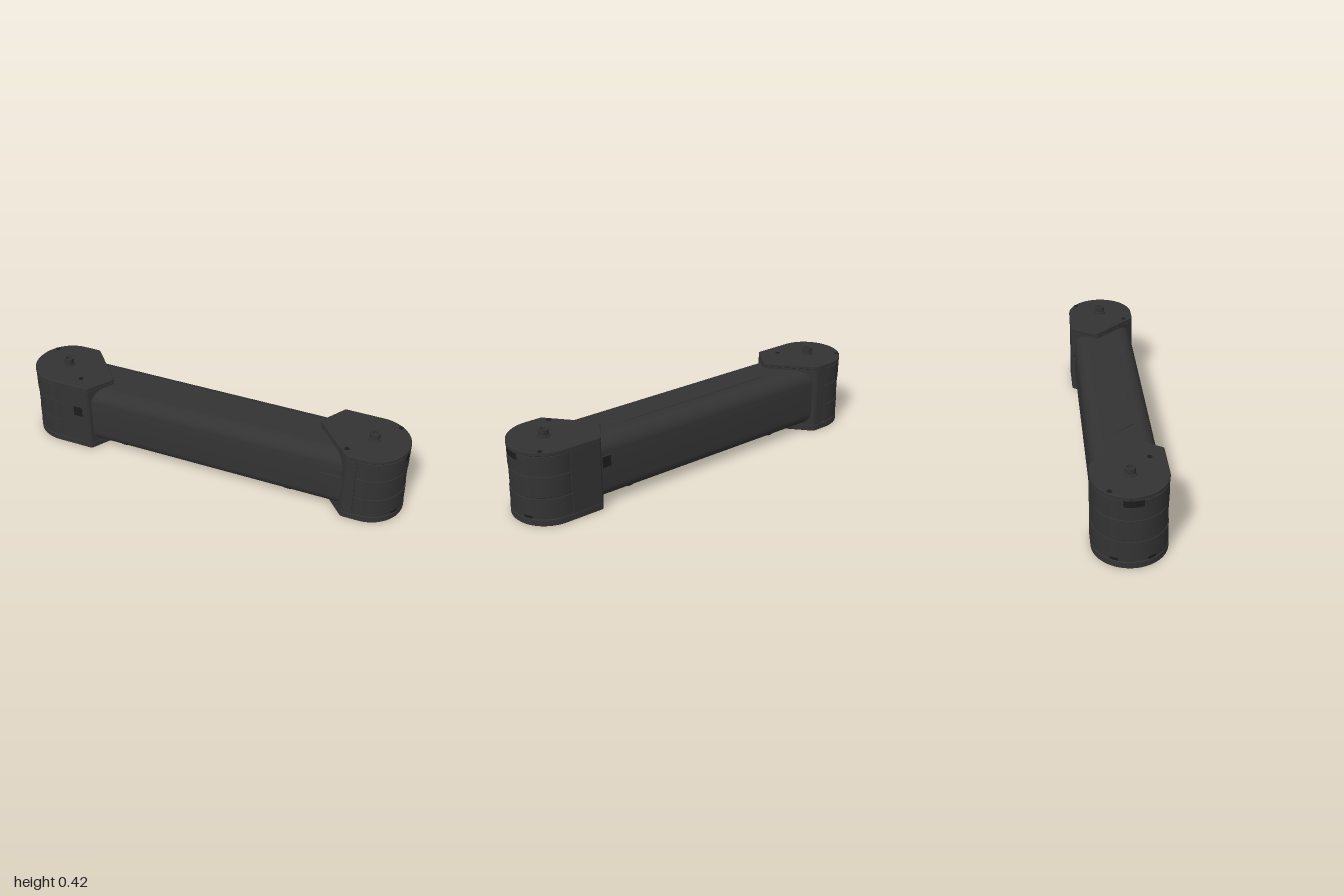
import * as THREE from 'three';
import { toCreasedNormals } from 'three/addons/utils/BufferGeometryUtils.js';

const shell = new THREE.MeshStandardMaterial({ color: 0x333333 });
const dark = new THREE.MeshStandardMaterial({ color: 0x1c1c1c, side: THREE.DoubleSide });

const R = 0.175;          // joint radius
const JOINT_X = 0.825;    // joint axis distance from the centre
const HEIGHT = 0.38;

function add(parent, name, geometry, material = shell, x = 0, y = 0, z = 0) {
  const mesh = new THREE.Mesh(geometry, material);
  mesh.name = name;
  mesh.position.set(x, y, z);
  parent.add(mesh);
  return mesh;
}

// Vertical extrusion of a plan outline (shape y becomes -z)
function slab(shape, y0, y1, bevel = 0.003) {
  const g = new THREE.ExtrudeGeometry(shape, {
    depth: y1 - y0 - 2 * bevel, curveSegments: 32, bevelEnabled: bevel > 0,
    bevelThickness: bevel, bevelSize: bevel, bevelOffset: -bevel, bevelSegments: 1,
  });
  g.translate(0, 0, bevel).rotateX(-Math.PI / 2).translate(0, y0, 0);
  return toCreasedNormals(g, 0.5);
}

function lathe(pairs, segments = 64) {
  const pts = pairs.map(([r, y]) => new THREE.Vector2(r, y));
  return toCreasedNormals(new THREE.LatheGeometry(pts, segments), 0.5);
}

// Skewed arrow-shaped end of the joint housing
function addNose(shape) {
  shape.lineTo(0.19, -R);
  shape.quadraticCurveTo(0.198, -R, 0.203, -0.165);
  shape.lineTo(0.273, -0.054);
  shape.quadraticCurveTo(0.283, -0.04, 0.272, -0.027);
  shape.lineTo(0.095, 0.167);
  shape.quadraticCurveTo(0.088, R, 0.078, R);
}

function plateOutline(holeRadius) {
  const s = new THREE.Shape();
  s.absarc(0, 0, R, Math.PI / 2, Math.PI * 1.5, false);
  addNose(s);
  s.closePath();
  if (holeRadius) s.holes.push(new THREE.Path().absarc(0, 0, holeRadius, 0, Math.PI * 2, true));
  return s;
}

function blockOutline() {
  const s = new THREE.Shape();
  s.moveTo(0.035, R);
  s.lineTo(0.035, -R);
  addNose(s);
  s.closePath();
  return s;
}

// Dark curved inset on the outer side of the barrel
function barrelSlot(parent, name, angle, width, y0, y1, r) {
  const g = new THREE.CylinderGeometry(r, r, y1 - y0, 12, 1, true,
    Math.PI * 1.5 + angle - width / 2, width);
  add(parent, name, g, dark, 0, (y0 + y1) / 2, 0);
}

function screw(parent, name, x, y, z, r = 0.012) {
  return add(parent, name, new THREE.CylinderGeometry(r, r, 0.003, 16), dark, x, y, z);
}

function makeJoint(screws) {
  const joint = new THREE.Group();
  add(joint, 'housingBlock', slab(blockOutline(), 0.035, 0.36, 0));
  add(joint, 'topPlate', slab(plateOutline(), 0.36, HEIGHT));
  add(joint, 'bottomPlate', slab(plateOutline(0.13), 0, 0.035));

  // Banded barrel with narrow seams
  add(joint, 'barrel', lathe([
    [0, 0.008], [0.165, 0.008], [0.165, 0.037], [0.1735, 0.037], [0.1735, 0.14],
    [0.169, 0.14], [0.169, 0.146], [0.171, 0.148], [0.171, 0.252], [0.168, 0.253],
    [0.168, 0.259], [0.1735, 0.26], [0.1735, 0.356], [0.168, 0.356], [0.168, 0.365], [0, 0.365],
  ]));
  barrelSlot(joint, 'cableSocket', 0, 0.52, 0.325, 0.358, 0.1742);
  barrelSlot(joint, 'cableSocketLip', 0, 0.5, 0.334, 0.337, 0.1747);
  for (const side of [-1, 1]) barrelSlot(joint, 'barrelSlot', side * 0.51, 0.24, 0.037, 0.052, 0.1742);

  // Connector pin on top
  add(joint, 'connectorPin', lathe([
    [0.031, 0.379], [0.031, 0.386], [0.025, 0.387], [0.025, 0.416],
    [0.015, 0.416], [0.015, 0.40], [0, 0.40],
  ], 32));
  for (const [x, z] of screws) screw(joint, 'topScrew', x, HEIGHT, z);

  // Underside flange: rings and bolt circles
  add(joint, 'flangeRing', lathe([[0.105, 0.009], [0.105, 0.003], [0.118, 0.003], [0.118, 0.009]].reverse(), 48), shell);
  add(joint, 'flangeHub', new THREE.CylinderGeometry(0.09, 0.09, 0.006, 40), shell, 0, 0.006, 0);
  screw(joint, 'hubHole', 0, 0.003, 0, 0.022);
  for (let i = 0; i < 8; i++) {
    const a = i * Math.PI / 4;
    screw(joint, 'hubBolt', 0.062 * Math.cos(a), 0.003, 0.062 * Math.sin(a), 0.011);
  }
  for (let i = 0; i < 6; i++) {
    const a = (i + 0.5) * Math.PI / 3;
    screw(joint, 'rimScrew', 0.153 * Math.cos(a), 0.0015, 0.153 * Math.sin(a), 0.01);
  }
  return joint;
}

// Square socket with a raised rim, facing +z
function makePort() {
  const port = new THREE.Group();
  const s = new THREE.Shape();
  const w = 0.028, h = 0.033, t = 0.004;
  s.moveTo(-w, -h).lineTo(w, -h).lineTo(w, h).lineTo(-w, h).closePath();
  s.holes.push(new THREE.Path().moveTo(t - w, t - h).lineTo(t - w, h - t).lineTo(w - t, h - t).lineTo(w - t, t - h).closePath());
  add(port, 'portRim', new THREE.ExtrudeGeometry(s, { depth: 0.003, bevelEnabled: false }));
  add(port, 'portOpening', new THREE.BoxGeometry(2 * (w - t), 2 * (h - t), 0.002), dark);
  return port;
}

export function createModel() {
  const model = new THREE.Group();
  model.name = 'robotArmLink';

  // Joints, the second turned half a revolution
  const right = makeJoint([[-0.125, -0.1], [0.125, 0.1]]);
  right.name = 'rightJoint';
  right.position.x = -JOINT_X;
  const left = makeJoint([[-0.095, 0.13], [0.1, -0.125]]);
  left.name = 'leftJoint';
  left.position.x = JOINT_X;
  left.rotation.y = Math.PI;
  model.add(right, left);

  // Rounded rectangular beam along x
  const w = 0.158, y0 = 0.035, y1 = 0.35, r = 0.07;
  const section = new THREE.Shape();
  section.absarc(w - r, y1 - r, r, 0, Math.PI / 2, false);
  section.absarc(r - w, y1 - r, r, Math.PI / 2, Math.PI, false);
  section.absarc(r - w, y0 + r, r, Math.PI, Math.PI * 1.5, false);
  section.absarc(w - r, y0 + r, r, Math.PI * 1.5, Math.PI * 2, false);
  section.closePath();
  const beam = new THREE.ExtrudeGeometry(section, { depth: 1.54, bevelEnabled: false, curveSegments: 12 });
  beam.translate(0, 0, -0.77).rotateY(Math.PI / 2);
  add(model, 'beam', toCreasedNormals(beam, 0.5));

  // Slanted cover panels on the top and underside of the beam
  const cover = new THREE.Shape();
  cover.moveTo(-0.46, 0.05).lineTo(-0.37, -0.065).lineTo(0.49, -0.065).lineTo(0.4, 0.05).closePath();
  add(model, 'topCover', slab(cover, y1 - 0.004, y1 + 0.003, 0.001));
  add(model, 'bottomCover', slab(cover, y0 - 0.003, y0 + 0.004, 0.001));

  // Bolts on the lower rounded edges of the beam
  const c = r * Math.SQRT1_2;
  for (const side of [-1, 1]) {
    for (const x of [-0.45, 0.45]) {
      const bolt = screw(model, 'beamBolt', x, y0 + r - c, side * (w - r + c), 0.016);
      bolt.rotation.x = side * Math.PI / 4;
      bolt.rotation.x += Math.PI / 2 * side;
    }
  }

  // Latch tab and the two sockets
  add(model, 'latchTab', new THREE.BoxGeometry(0.115, 0.07, 0.015), shell, 0.6725, 0.195, 0.1575);
  const frontPort = makePort();
  frontPort.name = 'frontPort';
  frontPort.position.set(-0.69, 0.225, R);
  const backPort = makePort();
  backPort.name = 'backPort';
  backPort.position.set(0.59, 0.235, -w);
  backPort.rotation.y = Math.PI;
  model.add(frontPort, backPort);

  return model;
}
